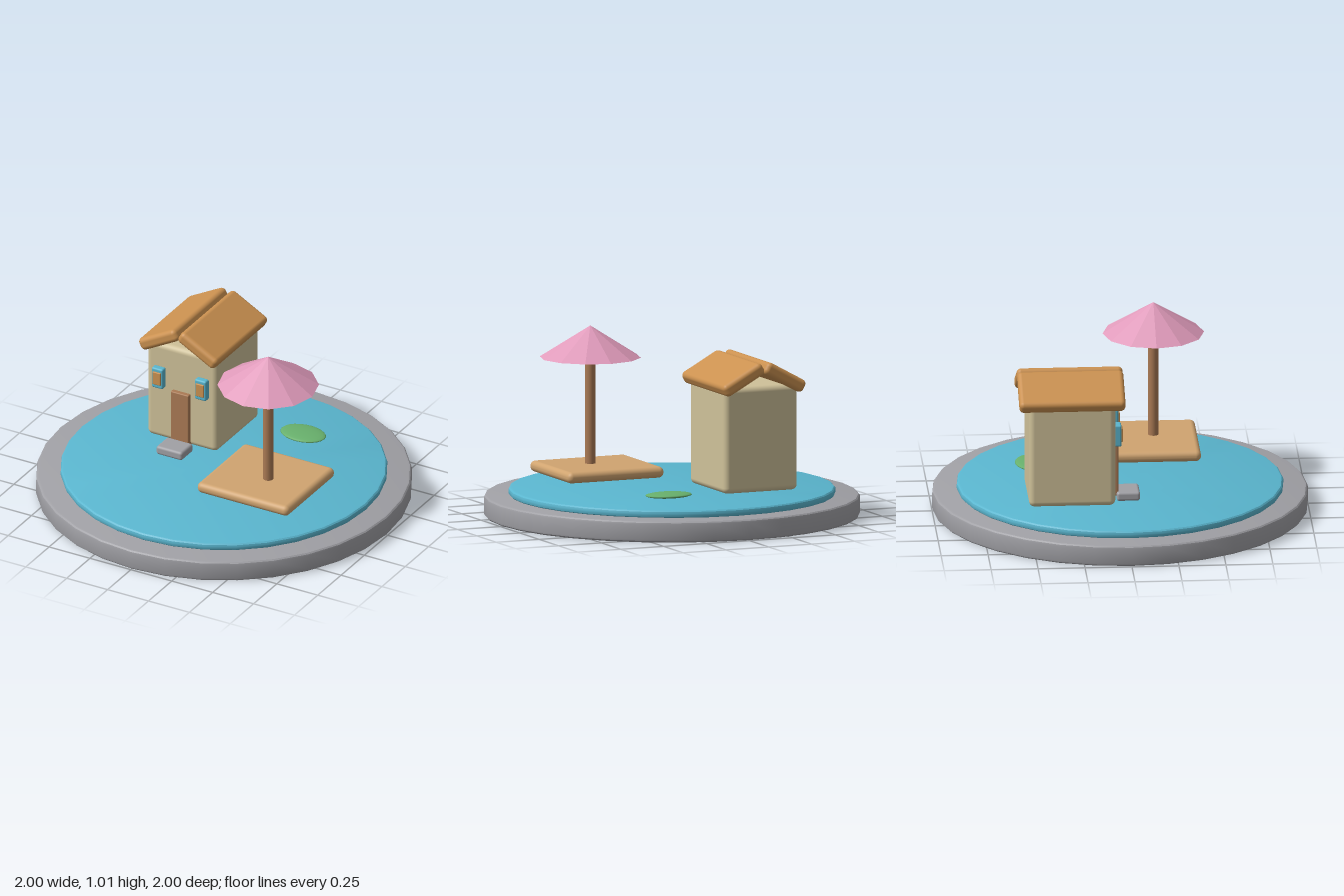
import * as THREE from 'three';
import { RoundedBoxGeometry } from 'three/addons/geometries/RoundedBoxGeometry.js';
import { toCreasedNormals } from 'three/addons/utils/BufferGeometryUtils.js';

const paint = (name, color) => {
  const m = new THREE.MeshStandardMaterial({ color });
  m.name = name;
  return m;
};

export function createModel() {
  const stone = paint('stone grey', 0xa0a0a5);
  const water = paint('water blue', 0x5ab6cf);
  const plaster = paint('cream plaster', 0xcfc199);
  const roofWood = paint('orange wood', 0xcb9150);
  const brown = paint('brown wood', 0xaa7a54);
  const deckWood = paint('pale deck wood', 0xd0a470);
  const pink = paint('parasol pink', 0xe09bbb);
  const green = paint('leaf green', 0x68b06c);

  const model = new THREE.Group();
  model.name = 'pondHouse';

  const add = (parent, name, geometry, material, x, y, z) => {
    const mesh = new THREE.Mesh(geometry, material);
    mesh.name = name;
    mesh.position.set(x, y, z);
    parent.add(mesh);
    return mesh;
  };
  const box = (w, h, d, r) => new RoundedBoxGeometry(w, h, d, 3, r);

  // Round disc with softened rims
  const disc = (radius, height, r) => {
    const pts = [new THREE.Vector2(0, 0)];
    for (const [cy, start] of [[r, -Math.PI / 2], [height - r, 0]]) {
      for (let i = 0; i <= 3; i++) {
        const a = start + (i / 3) * Math.PI / 2;
        pts.push(new THREE.Vector2(radius - r + r * Math.cos(a), cy + r * Math.sin(a)));
      }
    }
    pts.push(new THREE.Vector2(0, height));
    return toCreasedNormals(new THREE.LatheGeometry(pts, 32), 0.5);
  };

  // Pond
  add(model, 'stoneBase', disc(1, 0.115, 0.018), stone, 0, 0, 0);
  add(model, 'waterSurface', disc(0.87, 0.045, 0.018), water, 0, 0.11, 0);

  // House
  const house = new THREE.Group();
  house.name = 'house';
  house.position.set(-0.29, 0, 0);
  model.add(house);
  add(house, 'walls', box(0.43, 0.57, 0.46, 0.03), plaster, 0, 0.46, -0.285);
  add(house, 'door', box(0.11, 0.31, 0.04, 0.006), brown, 0, 0.335, -0.05);
  add(house, 'doorStep', box(0.16, 0.05, 0.125, 0.015), stone, 0, 0.18, 0.022);
  for (const side of [-1, 1]) {
    const label = side < 0 ? 'right' : 'left';
    const slab = add(house, label + 'RoofSlab', box(0.256, 0.07, 0.565, 0.025), roofWood,
      side * 0.12, 0.79, -0.285);
    slab.rotation.z = -side * 0.5;
    add(house, label + 'WindowFrame', box(0.07, 0.12, 0.04, 0.01), water, side * 0.132, 0.55, -0.04);
    add(house, label + 'WindowPane', box(0.05, 0.075, 0.02, 0.004), roofWood, side * 0.132, 0.552, -0.022);
  }

  // Floating deck with parasol
  add(model, 'deck', box(0.56, 0.06, 0.52, 0.028), deckWood, 0.357, 0.245, 0.178);
  add(model, 'parasolPole', new THREE.CylinderGeometry(0.028, 0.028, 0.62, 16), brown, 0.385, 0.57, 0.202);
  add(model, 'parasolCanopy', toCreasedNormals(new THREE.ConeGeometry(0.27, 0.17, 12), 0.05), pink,
    0.385, 0.93, 0.202);

  // Lily pad
  add(model, 'lilyPad', new THREE.SphereGeometry(1, 24, 12), green, 0.225, 0.185, -0.455)
    .scale.set(0.13, 0.015, 0.09);

  return model;
}
